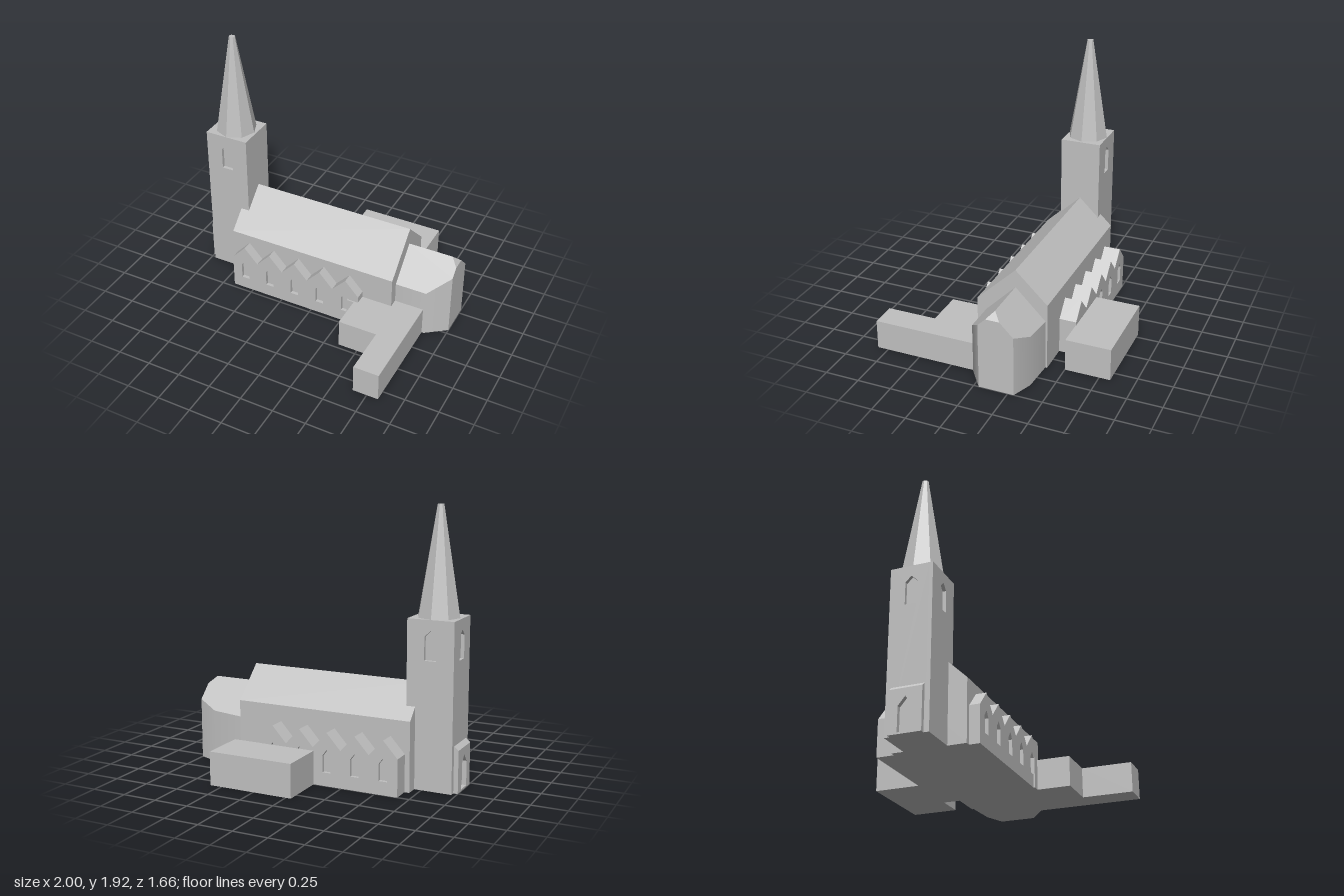
import * as THREE from 'three';
import { toCreasedNormals } from 'three/addons/utils/BufferGeometryUtils.js';
import { ConvexGeometry } from 'three/addons/geometries/ConvexGeometry.js';

const RECESS = 0.025;

export function createModel() {
  const model = new THREE.Group();
  model.name = 'church';
  const stone = new THREE.MeshStandardMaterial({ color: 0xc0c0c0 });
  stone.name = 'greyStone';

  const add = (name, geometry) => {
    const mesh = new THREE.Mesh(geometry, stone);
    mesh.name = name;
    model.add(mesh);
    return mesh;
  };
  // box given by its limits
  const box = (name, x0, x1, y0, y1, z0, z1) =>
    add(name, new THREE.BoxGeometry(x1 - x0, y1 - y0, z1 - z0)
      .translate((x0 + x1) / 2, (y0 + y1) / 2, (z0 + z1) / 2));
  const outline = (pts) => new THREE.Shape(pts.map(([x, y]) => new THREE.Vector2(x, y)));
  const extrude = (shape, depth) =>
    new THREE.ExtrudeGeometry(shape, { depth, bevelEnabled: false });
  const rect = (x0, x1, y0, y1) => outline([[x0, y0], [x1, y0], [x1, y1], [x0, y1]]);
  // pointed window or door opening
  const lancet = (x, halfWidth, sill, shoulder, peak) => outline([
    [x - halfWidth, sill], [x + halfWidth, sill], [x + halfWidth, shoulder],
    [x, peak], [x - halfWidth, shoulder]]);

  // nave: gabled section run along x (section x is -z)
  const naveSection = outline([
    [-0.143, 0], [0.379, 0], [0.379, 0.495], [0.145, 0.72], [-0.143, 0.445]]);
  add('nave', extrude(naveSection, 1.315).rotateY(Math.PI / 2).translate(-0.7, 0, 0));

  // side aisles: five small gables, each with a recessed window
  const bays = [-0.42, -0.21, 0, 0.21, 0.42];
  const aisleOutline = () => {
    const pts = [[-0.525, 0], [0.525, 0], [0.525, 0.265]];
    for (const x of [...bays].reverse()) pts.push([x, 0.38], [x - 0.105, 0.265]);
    return outline(pts);
  };
  const buildAisle = (name, wallZ, depth, turn) => {
    const face = aisleOutline();
    for (const x of bays) face.holes.push(lancet(x, 0.032, 0.096, 0.214, 0.257));
    const place = (g) => g.rotateY(turn).translate(-0.14, 0, wallZ);
    add(name + 'Core', place(extrude(aisleOutline(), depth - RECESS)));
    add(name + 'Wall', place(extrude(face, RECESS).translate(0, 0, depth - RECESS)));
  };
  buildAisle('frontAisle', 0.143, 0.075, 0);
  buildAisle('backAisle', -0.379, 0.124, Math.PI);

  // tower: core with window walls on front, back and left end
  const T = { x0: -0.968, x1: -0.635, z0: -0.293, z1: 0.011, top: 1.175 };
  const cx = (T.x0 + T.x1) / 2;
  const cz = (T.z0 + T.z1) / 2;
  const halfX = (T.x1 - T.x0) / 2;
  const halfZ = (T.z1 - T.z0) / 2;
  box('towerCore', T.x0 + RECESS, T.x1, 0, T.top, T.z0 + RECESS, T.z1 - RECESS);
  const towerWall = (name, half, reach, turn) => {
    const shape = rect(-half, half, 0, T.top);
    shape.holes.push(lancet(0, 0.043, 0.898, 1.06, 1.1));
    add(name, extrude(shape, RECESS).translate(0, 0, reach - RECESS)
      .rotateY(turn).translate(cx, 0, cz));
  };
  towerWall('towerFrontWall', halfX, halfZ, 0);
  towerWall('towerBackWall', halfX, halfZ, Math.PI);
  towerWall('towerEndWall', halfZ - RECESS, halfX, -Math.PI / 2);

  // eight-sided spire with a blunt tip
  add('spire', new THREE.CylinderGeometry(0.023, 0.15, 0.75, 8).toNonIndexed()
    .translate(cx, T.top + 0.375, cz)).geometry.computeVertexNormals();

  // door surround with a top that slopes outwards
  const doorShape = rect(-0.115, 0.115, 0, 0.3);
  doorShape.holes.push(lancet(0, 0.05, 0.012, 0.185, 0.245));
  const door = extrude(doorShape, 0.032);
  const p = door.attributes.position;
  for (let i = 0; i < p.count; i++) {
    if (p.getY(i) > 0.29 && p.getZ(i) < 0.01) p.setY(i, 0.327);
  }
  door.computeVertexNormals();
  add('doorSurround', door.rotateY(-Math.PI / 2).translate(T.x0, 0, cz));

  // chancel: angled plan under a pitched roof with a small hip
  const ridgeZ = -0.145;
  const plan = [[0.6, 0.074], [0.85, 0.074], [1, -0.038], [1, -0.294], [0.85, -0.352], [0.6, -0.367]];
  const corners = [[0.6, 0.59, ridgeZ], [0.95, 0.59, ridgeZ], [1, 0.54, ridgeZ + 0.05], [1, 0.54, ridgeZ - 0.05]];
  for (const [x, z] of plan) corners.push([x, 0, z], [x, 0.59 - Math.abs(z - ridgeZ), z]);
  const chancel = new ConvexGeometry(corners.map((c) => new THREE.Vector3(...c)));
  add('chancel', toCreasedNormals(chancel, 0.66));

  // low flat-roofed annexes (plan y is -z)
  const annexPlan = outline([
    [0.3, -0.2], [0.3, -0.228], [0.355, -0.228], [0.355, -0.466], [0.645, -0.466],
    [0.645, -0.83], [0.835, -0.83], [0.835, -0.06], [0.6, -0.06], [0.6, -0.13], [0.37, -0.13], [0.37, -0.2]]);
  add('frontAnnex', extrude(annexPlan, 0.217).rotateX(-Math.PI / 2));
  box('backAnnex', -0.04, 0.588, 0, 0.24, -0.83, -0.5);

  return model;
}
